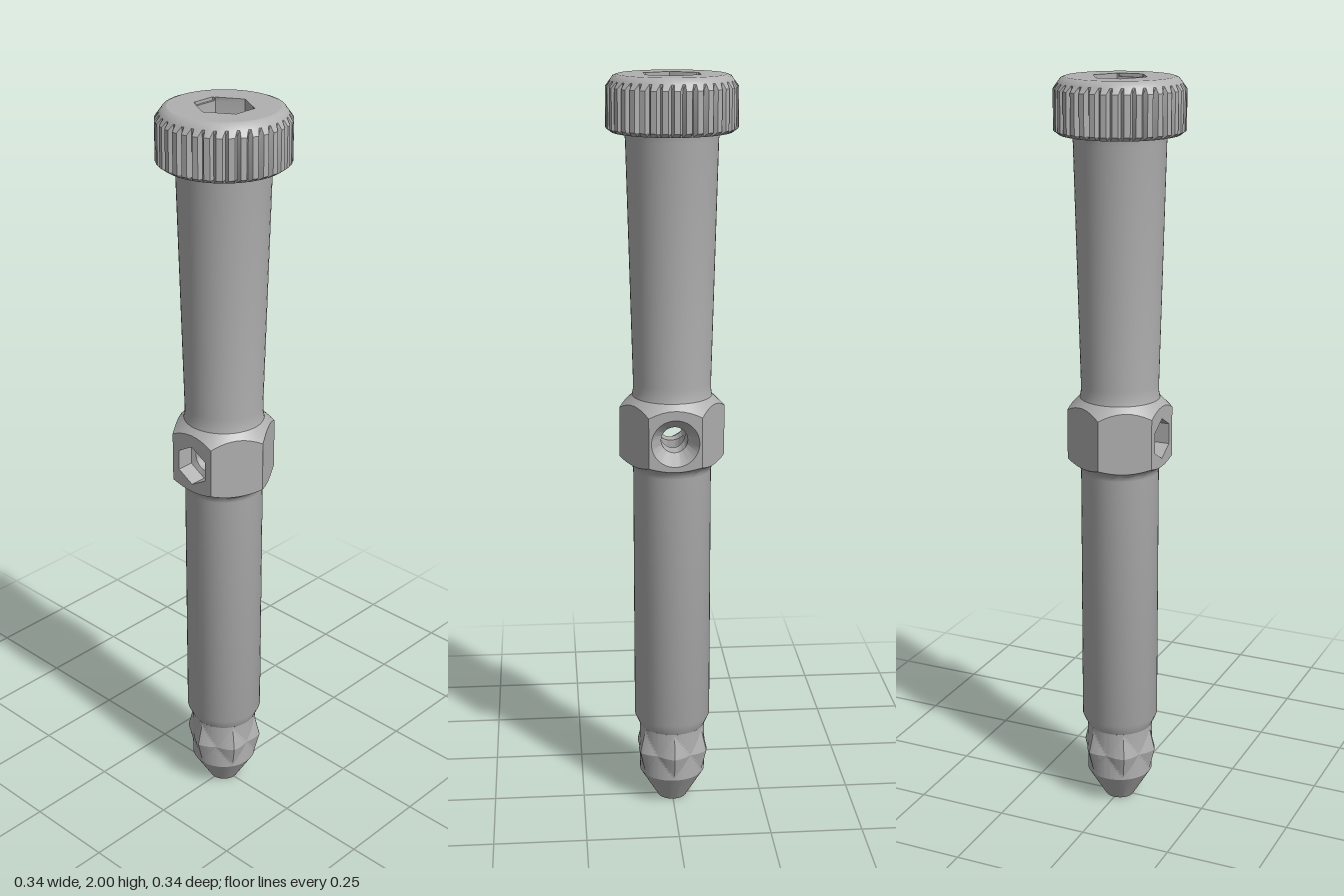
import * as THREE from 'three';
import { toCreasedNormals } from 'three/addons/utils/BufferGeometryUtils.js';

const TAU = Math.PI * 2, SIXTH = Math.PI / 3;
const BORE = 0.035;          // radius of both through holes
const CROSS_Y = 1.07;        // height of the cross hole
const APOTHEM = 0.121;       // hexagonal collar, centre to flat
const HALF_FLAT = APOTHEM * Math.tan(Math.PI / 6);

const steel = new THREE.MeshStandardMaterial({ color: 0xb0b0b0 });
steel.name = 'steel grey';

const uniform = n => Array.from({ length: n }, (_, i) => i / n * TAU);

// Skin through rings [radius, y] or angle => [radius, y]; rising rings face out, falling ones face in
function loft(rings, angles, crease = 0.55) {
  const n = angles.length, pos = [], idx = [];
  rings.forEach((ring, i) => angles.forEach((a, j) => {
    const [r, y] = typeof ring === 'function' ? ring(a) : ring;
    pos.push(r * Math.cos(a), y, r * Math.sin(a));
    if (i === rings.length - 1) return;
    const p = i * n + j, q = i * n + (j + 1) % n;
    idx.push(p, p + n, q, q, p + n, q + n);
  }));
  const g = new THREE.BufferGeometry();
  g.setAttribute('position', new THREE.Float32BufferAttribute(pos, 3));
  g.setIndex(idx);
  return toCreasedNormals(g, crease);
}

// Radius of a hexagon with a corner at angle 0
const hexRadius = (apothem, a) => {
  const f = ((a % SIXTH) + SIXTH) % SIXTH;
  return apothem / Math.cos(f - SIXTH / 2);
};

export function createModel() {
  const model = new THREE.Group();
  const add = (name, geometry) => {
    const mesh = new THREE.Mesh(geometry, steel);
    mesh.name = name;
    model.add(mesh);
    return mesh;
  };
  const round = uniform(48);

  // Angles that land evenly on the flats of the collar
  const steps = Array.from({ length: 8 }, (_, j) => (j / 4 - 1) * HALF_FLAT);
  const collarAngles = [];
  for (let k = 0; k < 6; k++) for (const s of steps) collarAngles.push(k * SIXTH + Math.atan(s / APOTHEM));

  // Collar edge: hexagon cut by a chamfer cone
  const collarR = a => hexRadius(APOTHEM, a + SIXTH / 2);
  const topY = r => 1.166 - (r - 0.113);
  const lowY = r => 0.988 + (r - 0.113) * 0.6;

  // Conical tip
  add('tip', loft([[BORE, 0], [0.04, 0], [0.09, 0.083]], round));

  // Ring with six pointed detents
  const detentRings = [];
  for (let i = 0; i <= 18; i++) {
    const y = 0.083 + i * 0.0078;
    detentRings.push(a => {
      const arc = Math.abs(a - Math.round(a / SIXTH) * SIXTH) * 0.09;
      const d = arc / 0.047 + Math.abs(y - 0.153) / 0.064;
      return [0.09 + 0.016 * Math.max(0, 1 - d), y];
    });
  }
  add('detentRing', loft(detentRings, uniform(96), 0.2));

  // Lower shaft up to the collar
  add('lowerShaft', loft([
    [0.09, 0.2234], [0.104, 0.255], [0.104, 0.968], [0.107, 0.98], [0.113, 0.988],
    a => [collarR(a), lowY(collarR(a))],
  ], collarAngles));

  // Collar flats, two of them pierced
  for (let k = 0; k < 6; k++) {
    const line = [...steps, HALF_FLAT].map(s => [s, Math.hypot(s, APOTHEM)]);
    const face = new THREE.Shape([
      ...line.map(([s, r]) => new THREE.Vector2(s, lowY(r))),
      ...line.reverse().map(([s, r]) => new THREE.Vector2(s, topY(r))),
    ]);
    if (k % 3 === 0) {
      const corners = k === 0 ? 48 : 6, r = k === 0 ? 0.063 : 0.055;
      face.holes.push(new THREE.Path(uniform(corners).map(a =>
        new THREE.Vector2(r * Math.sin(a), CROSS_Y + r * Math.cos(a)))));
    }
    add('collarFlat', new THREE.ShapeGeometry(face)
      .translate(0, 0, APOTHEM).rotateY(Math.PI / 2 - k * SIXTH));
  }

  // Tapered upper shaft
  add('upperShaft', loft([
    a => [collarR(a), topY(collarR(a))],
    [0.113, 1.166], [0.106, 1.173], [0.103, 1.19], [0.103, 1.21], [0.119, 1.84], [0.122, 1.858],
  ], collarAngles));

  // Cross hole: countersunk on the left, hexagonal socket on the right
  const saddle = a => [BORE, BORE * Math.abs(Math.cos(a))];
  const across = (name, geometry, side) =>
    add(name, geometry.rotateZ(-side * Math.PI / 2).translate(0, CROSS_Y, 0));
  across('countersink', loft([[0.063, APOTHEM], [BORE, 0.082], saddle], round), 1);
  const sideHex = a => hexRadius(0.055 * Math.cos(Math.PI / 6), a);
  across('sideSocket', loft([
    a => [sideHex(a), APOTHEM], a => [sideHex(a), 0.075], [BORE, 0.07], saddle,
  ], round), -1);

  // Long bore, opened where the cross hole passes
  add('upperBore', loft([[BORE, 1.83], a => [BORE, CROSS_Y + BORE * Math.abs(Math.cos(a))]], round));
  add('lowerBore', loft([a => [BORE, CROSS_Y - BORE * Math.abs(Math.cos(a))], [BORE, 0]], round));

  // Knurled head
  const teeth = 36;
  const knurl = y => a => {
    const t = Math.abs(((a * teeth / TAU + 0.5) % 1) - 0.5) * 2;
    return [t > 0.9 ? 0.156 : 0.168, y];
  };
  add('knurledHead', loft([
    [0.118, 1.858], [0.154, 1.858], knurl(1.868), knurl(1.97),
    [0.157, 1.985], [0.149, 1.996], [0.138, 2],
  ], uniform(teeth * 4), 0.6));

  // Flat top with the hexagonal opening and two shallow notches
  const flat = 0.0635, edge = 0.07, nx = 0.033, corner = flat / Math.cos(Math.PI / 6);
  const half = [[corner, 0], [corner / 2, flat], [nx, flat], [nx, edge], [-nx, edge], [-nx, flat], [-corner / 2, flat]];
  const outline = [...half, ...half.map(([x, z]) => [-x, -z])];
  const top = new THREE.Shape(uniform(teeth * 4).map(a =>
    new THREE.Vector2(0.138 * Math.cos(a), 0.138 * Math.sin(a))));
  top.holes.push(new THREE.Path(outline.map(([x, z]) => new THREE.Vector2(x, z))));
  add('headTop', new THREE.ShapeGeometry(top).rotateX(-Math.PI / 2).translate(0, 2, 0));

  const outlineAngles = outline.map(([x, z]) => Math.atan2(z, x));
  const outlineR = new Map(outline.map(([x, z], i) => [outlineAngles[i], Math.hypot(x, z)]));
  add('notchWall', loft([a => [outlineR.get(a), 2], a => [outlineR.get(a), 1.992]], outlineAngles));
  for (const side of [1, -1]) {
    add('notchFloor', new THREE.PlaneGeometry(nx * 2, edge - flat)
      .rotateX(-Math.PI / 2).translate(0, 1.992, side * (edge + flat) / 2));
  }

  // Drive socket narrowing to the bore
  add('driveSocket', loft([
    a => [hexRadius(flat, a), 1.992], a => [hexRadius(flat, a), 1.89], [BORE, 1.83],
  ], round));

  return model;
}
